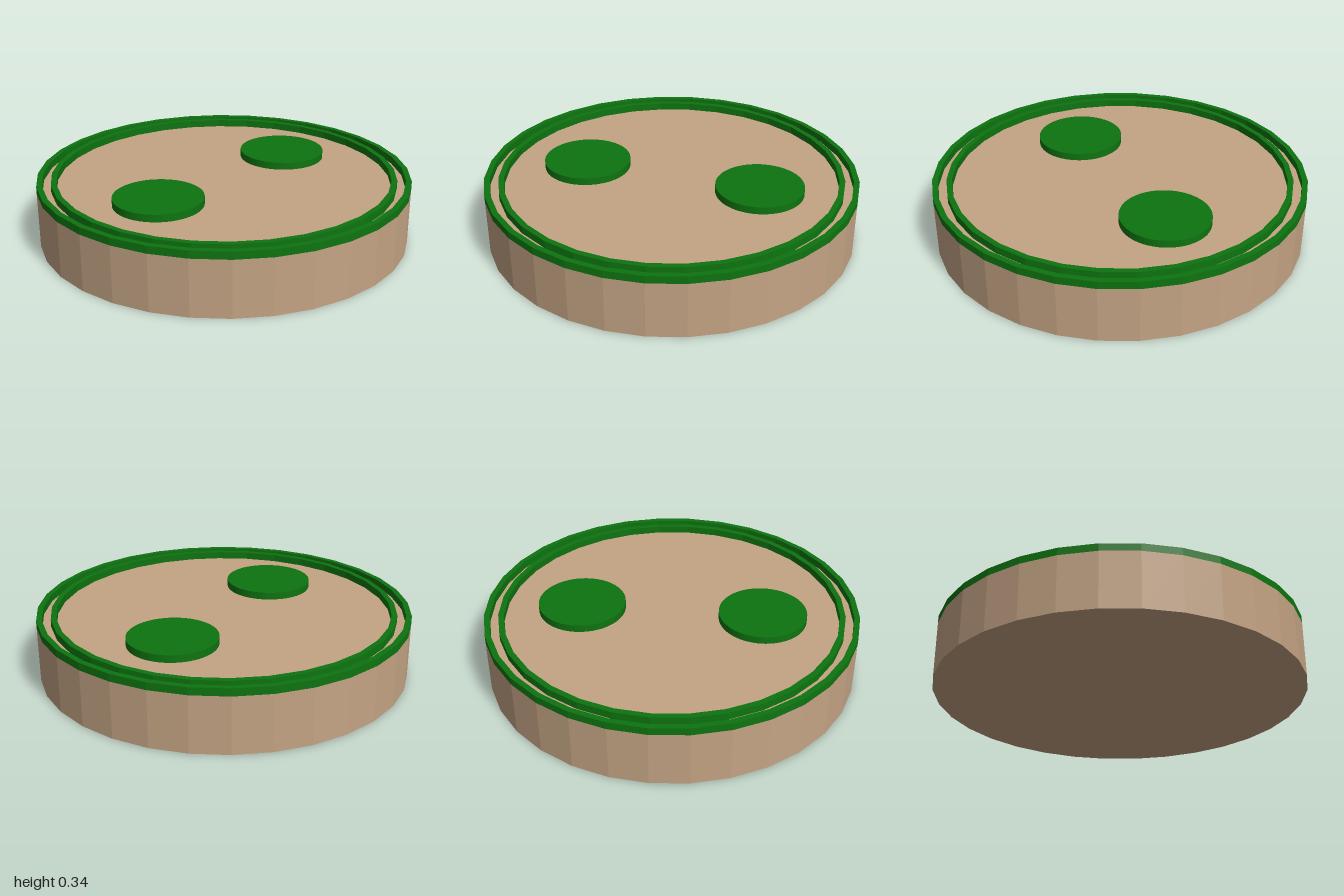
import * as THREE from 'three';

const SIDES = 32;
const BASE_H = 0.3;
const TRIM_H = 0.04;

export function createModel() {
  const model = new THREE.Group();
  model.name = 'roundPlatform';

  const tan = new THREE.MeshStandardMaterial({ color: 0xc4a484, flatShading: true });
  tan.name = 'tan';
  const green = new THREE.MeshStandardMaterial({ color: 0x0e7410, flatShading: true });
  green.name = 'green';

  const add = (name, geometry, material, y, z = 0) => {
    const mesh = new THREE.Mesh(geometry, material);
    mesh.name = name;
    mesh.position.set(0, y, z);
    model.add(mesh);
  };

  // Raised ring with a rectangular section
  const ring = (inner, outer) => new THREE.LatheGeometry([
    new THREE.Vector2(outer, 0),
    new THREE.Vector2(outer, TRIM_H),
    new THREE.Vector2(inner, TRIM_H),
    new THREE.Vector2(inner, 0),
    new THREE.Vector2(outer, 0),
  ], SIDES);

  // Solid faceted base
  add('base', new THREE.CylinderGeometry(1, 1, BASE_H, SIDES), tan, BASE_H / 2);

  // Two concentric rings on the top
  add('outerRing', ring(0.97, 1), green, BASE_H);
  add('innerRing', ring(0.895, 0.925), green, BASE_H);

  // Front and back discs
  for (const [name, z] of [['frontDisc', 0.488], ['backDisc', -0.488]]) {
    add(name, new THREE.CylinderGeometry(0.235, 0.235, TRIM_H, 64), green, BASE_H + TRIM_H / 2, z);
  }

  return model;
}
